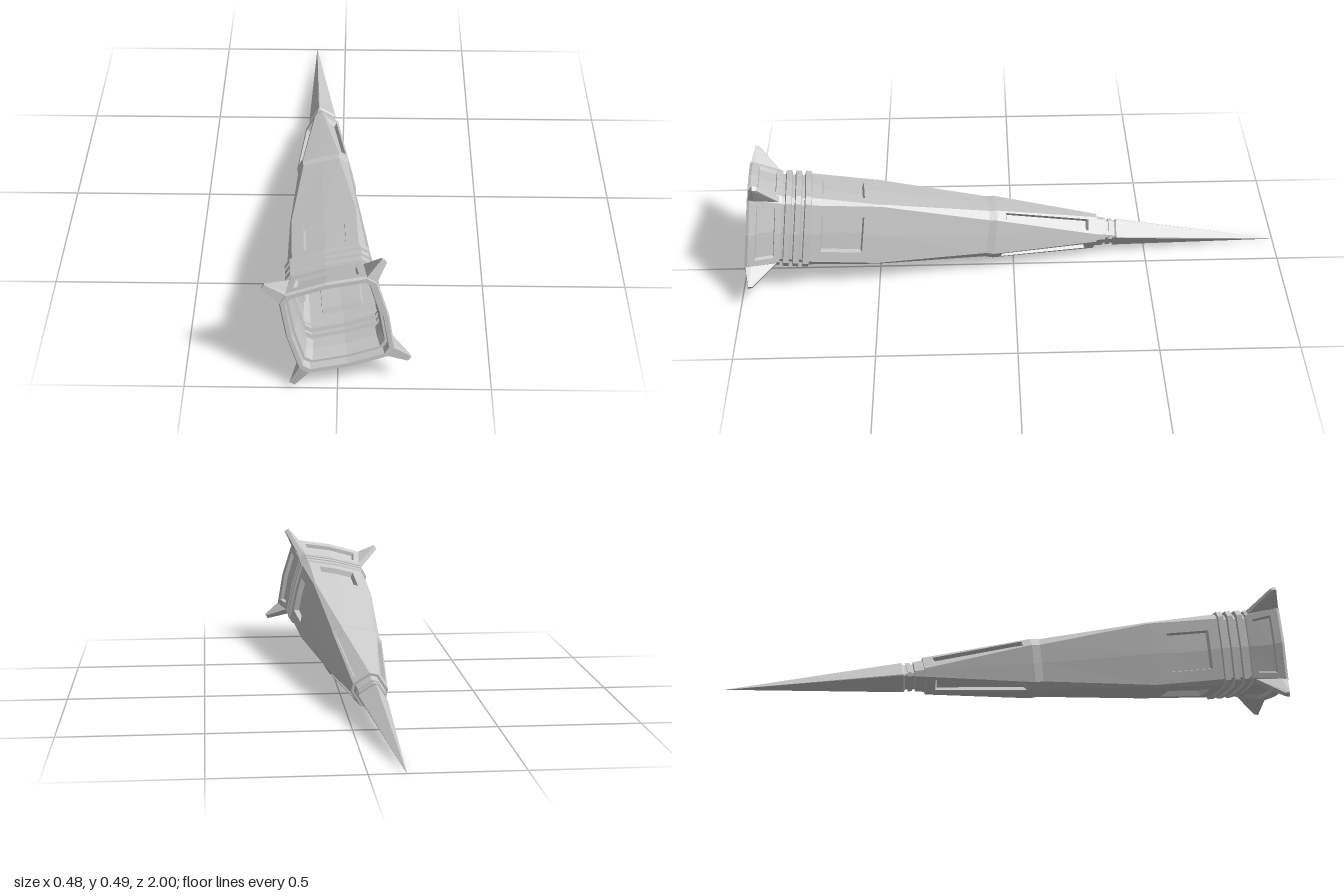
import * as THREE from 'three';
import { ConvexGeometry } from 'three/addons/geometries/ConvexGeometry.js';

const material = new THREE.MeshStandardMaterial({ color: 0xcccccc, flatShading: true, side: THREE.DoubleSide });

// Cross-section: s along the axis from the tip, h half width, c half side length before the chamfer, b bow
const sec = (s, h, c, b = 0) => ({ s, h, c, b });

// The same section seen from a side (h, c) or from a corner chamfer (turned 45 degrees)
const sideOf = (q) => ({ s: q.s, r: q.h, w: q.c, b: q.b });
const cornerOf = (q) => ({ s: q.s, r: (q.h - q.b + q.c) / Math.SQRT2, w: (q.h - q.b - q.c) / Math.SQRT2, b: 0 });

// Point on a strip between two sections, u across (-1..1) and t along (0..1)
function stripPoint(A, B, u, t, depth = 0) {
  const mix = THREE.MathUtils.lerp;
  const r = mix(A.r - A.b * Math.abs(u), B.r - B.b * Math.abs(u), t) - depth;
  return new THREE.Vector3(r, mix(A.w, B.w, t) * u, mix(A.s, B.s, t));
}

// One face strip, optionally with a recessed panel { u, t0, t1, depth }
function addStrip(out, A, B, angle, panel) {
  const axis = new THREE.Vector3(0, 0, 1);
  const loop = (u, t0, t1, depth) => [[-u, t0], [0, t0], [u, t0], [u, t1], [0, t1], [-u, t1]]
    .map(([a, t]) => stripPoint(A, B, a, t, depth).applyAxisAngle(axis, angle));
  const quad = (a, b, c, d) => [a, b, c, a, c, d].forEach((p) => out.push(p.x, p.y, p.z));
  const fill = (p) => { quad(p[0], p[1], p[4], p[5]); quad(p[1], p[2], p[3], p[4]); };
  const bridge = (p, q) => p.forEach((_, i) => {
    const j = (i + 1) % 6;
    quad(p[i], p[j], q[j], q[i]);
  });
  const outer = loop(1, 0, 1, 0);
  if (!panel) return fill(outer);
  const rim = loop(panel.u, panel.t0, panel.t1, 0);
  const floor = loop(panel.u * 0.94, panel.t0 + 0.02, panel.t1 - 0.02, panel.depth);
  bridge(outer, rim);
  bridge(rim, floor);
  fill(floor);
}

// Shell through a list of sections; panels are keyed by segment number
function shell(name, sections, { side = {}, corner = {} } = {}) {
  const out = [];
  for (let i = 0; i + 1 < sections.length; i++) {
    const [A, B] = [sections[i], sections[i + 1]];
    for (let k = 0; k < 4; k++) {
      const angle = k * Math.PI / 2;
      addStrip(out, sideOf(A), sideOf(B), angle, side[i]);
      addStrip(out, cornerOf(A), cornerOf(B), angle + Math.PI / 4, corner[i]);
    }
  }
  const g = new THREE.BufferGeometry();
  g.setAttribute('position', new THREE.Float32BufferAttribute(out, 3));
  g.computeVertexNormals();
  const mesh = new THREE.Mesh(g, material);
  mesh.name = name;
  return mesh;
}

export function createModel() {
  const tower = new THREE.Group();
  tower.name = 'spire';

  // Needle tip, its edges in line with the middle of the sides
  tower.add(shell('needle', [
    sec(0, 0.0005, 0), sec(0.622, 0.053, 0.002), sec(0.628, 0.044, 0.004),
  ]));

  // Banded neck
  tower.add(shell('neck', [
    sec(0.628, 0.044, 0.004), sec(0.638, 0.044, 0.004), sec(0.638, 0.050, 0.008),
    sec(0.652, 0.050, 0.008), sec(0.652, 0.044, 0.006), sec(0.662, 0.044, 0.006),
    sec(0.664, 0.052, 0.010), sec(0.698, 0.055, 0.012),
  ]));

  // Tapering shaft with panelled corner buttresses
  tower.add(shell('shaft', [
    sec(0.698, 0.055, 0.012), sec(0.698, 0.064, 0.015), sec(1.085, 0.097, 0.068, 0.001),
    sec(1.115, 0.094, 0.067, 0.001), sec(1.515, 0.123, 0.113, 0.004),
  ], { corner: { 1: { u: 0.66, t0: 0.09, t1: 0.92, depth: 0.016 } } }));

  // Lower shaft with a square recess on each side
  tower.add(shell('lowerShaft', [
    sec(1.515, 0.123, 0.113, 0.004), sec(1.765, 0.138, 0.112, 0.005),
  ], { side: { 0: { u: 0.63, t0: 0.24, t1: 0.85, depth: 0.02 } } }));

  // Three raised bands with grooves between them
  const bands = [sec(1.765, 0.138, 0.112, 0.005)];
  for (let i = 0; i < 3; i++) {
    const s = 1.768 + i * 0.035;
    bands.push(sec(s, 0.146, 0.118, 0.006), sec(s + 0.02, 0.146, 0.118, 0.006),
      sec(s + 0.023, 0.133, 0.108, 0.006), sec(s + 0.033, 0.133, 0.108, 0.006));
  }
  tower.add(shell('bands', bands));

  // Flared collar with recessed panels, rim and inner lining
  const collarBack = sec(1.871, 0.143, 0.116, 0.006);
  const collarRim = sec(1.985, 0.168, 0.134, 0.009);
  tower.add(shell('collar', [
    sec(1.871, 0.133, 0.108, 0.006), collarBack, collarRim,
    sec(1.995, 0.164, 0.131, 0.009), sec(1.995, 0.150, 0.122, 0.008),
    sec(1.965, 0.147, 0.120, 0.008), sec(1.965, 0.139, 0.112, 0.007),
    sec(1.915, 0.130, 0.106, 0.006), sec(1.871, 0.128, 0.104, 0.006),
  ], { side: { 1: { u: 0.82, t0: 0.2, t1: 0.78, depth: 0.014 } } }));

  // Swept horns on the collar corners
  const back = cornerOf(collarBack), front = cornerOf(collarRim);
  const points = [];
  for (const m of [-1, 1]) {
    points.push(
      new THREE.Vector3(back.r - 0.004, back.w * 0.75 * m, back.s + 0.005),
      new THREE.Vector3(front.r - 0.006, front.w * 1.1 * m, 1.992),
      new THREE.Vector3(front.r - 0.006, front.w * 1.1 * m, 1.97),
      new THREE.Vector3(0.277, 0.010 * m, 1.978),
      new THREE.Vector3(0.274, 0.007 * m, 1.962),
    );
  }
  const hornGeometry = new ConvexGeometry(points);
  for (let k = 0; k < 4; k++) {
    const horn = new THREE.Mesh(hornGeometry, material);
    horn.name = 'cornerHorn';
    horn.rotation.z = Math.PI / 4 + k * Math.PI / 2;
    tower.add(horn);
  }

  // Lay the spire down: tip low at the back, open collar raised at the front
  const w = new THREE.Vector3(0.12, 0.25, 1.975).normalize();
  const roll = THREE.MathUtils.degToRad(13);
  const u = new THREE.Vector3(Math.cos(roll), Math.sin(roll), 0);
  u.addScaledVector(w, -u.dot(w)).normalize();
  const v = new THREE.Vector3().crossVectors(w, u);
  tower.quaternion.setFromRotationMatrix(new THREE.Matrix4().makeBasis(u, v, w));
  tower.position.set(-0.12, 0, -1);

  const model = new THREE.Group();
  model.name = 'model';
  model.add(tower);
  return model;
}
